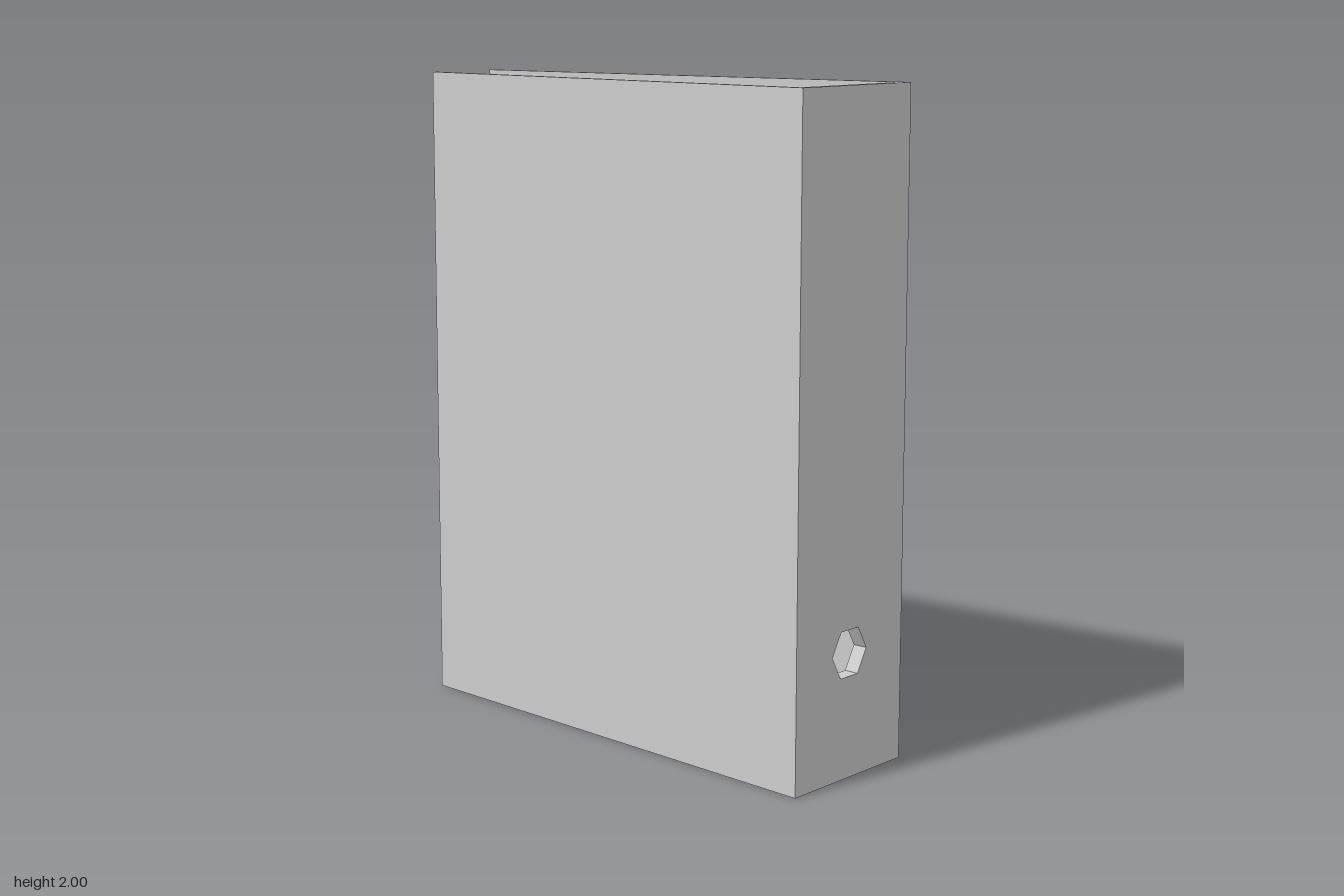
import * as THREE from 'three';

const HEIGHT = 2;
const OUTER = 0.78, INNER = 0.755; // spine faces along x
const HOLE_Y = 0.375, HOLE_R = 0.08, HOLE_LIP = 0.735;

const material = new THREE.MeshStandardMaterial({ color: 0xcccccc, flatShading: true });

// Upright panel from a plan outline of [x, z] points
function panel(name, outline) {
  const shape = new THREE.Shape(outline.map(([x, z]) => new THREE.Vector2(x, -z)));
  const geometry = new THREE.ExtrudeGeometry(shape, { depth: HEIGHT, bevelEnabled: false });
  geometry.rotateX(-Math.PI / 2);
  const mesh = new THREE.Mesh(geometry, material);
  mesh.name = name;
  return mesh;
}

// Spine with a hexagonal finger hole; its inner face swells towards the hole
function spine() {
  const shape = new THREE.Shape();
  shape.moveTo(-0.245, 0).lineTo(0.25, 0).lineTo(0.25, HEIGHT).lineTo(-0.245, HEIGHT).closePath();
  const hexagon = [];
  for (let i = 0; i < 6; i++) {
    const a = -i * Math.PI / 3;
    hexagon.push(new THREE.Vector2(HOLE_R * Math.cos(a), HOLE_Y + HOLE_R * Math.sin(a)));
  }
  shape.holes.push(new THREE.Path(hexagon));

  const geometry = new THREE.ExtrudeGeometry(shape, { depth: OUTER - INNER, bevelEnabled: false });
  geometry.rotateY(Math.PI / 2).translate(INNER, 0, 0);
  const p = geometry.attributes.position;
  for (let i = 0; i < p.count; i++) {
    if (p.getX(i) > INNER + 0.01) continue;
    if (Math.abs(p.getZ(i)) < 0.1) p.setX(i, HOLE_LIP); // hole rim
    else p.setZ(i, p.getZ(i) > 0 ? 0.225 : -0.23);      // mitre against the covers
  }
  geometry.computeVertexNormals();
  const mesh = new THREE.Mesh(geometry, material);
  mesh.name = 'spine';
  return mesh;
}

export function createModel() {
  const group = new THREE.Group();
  group.name = 'ringBinder';
  group.add(
    panel('frontCover', [[OUTER, 0.245], [-OUTER, 0.145], [-OUTER, 0.125], [INNER, 0.225]]),
    panel('backCover', [[OUTER, -0.25], [-OUTER, -0.125], [-OUTER, -0.105], [INNER, -0.23]]),
    spine()
  );
  return group;
}
